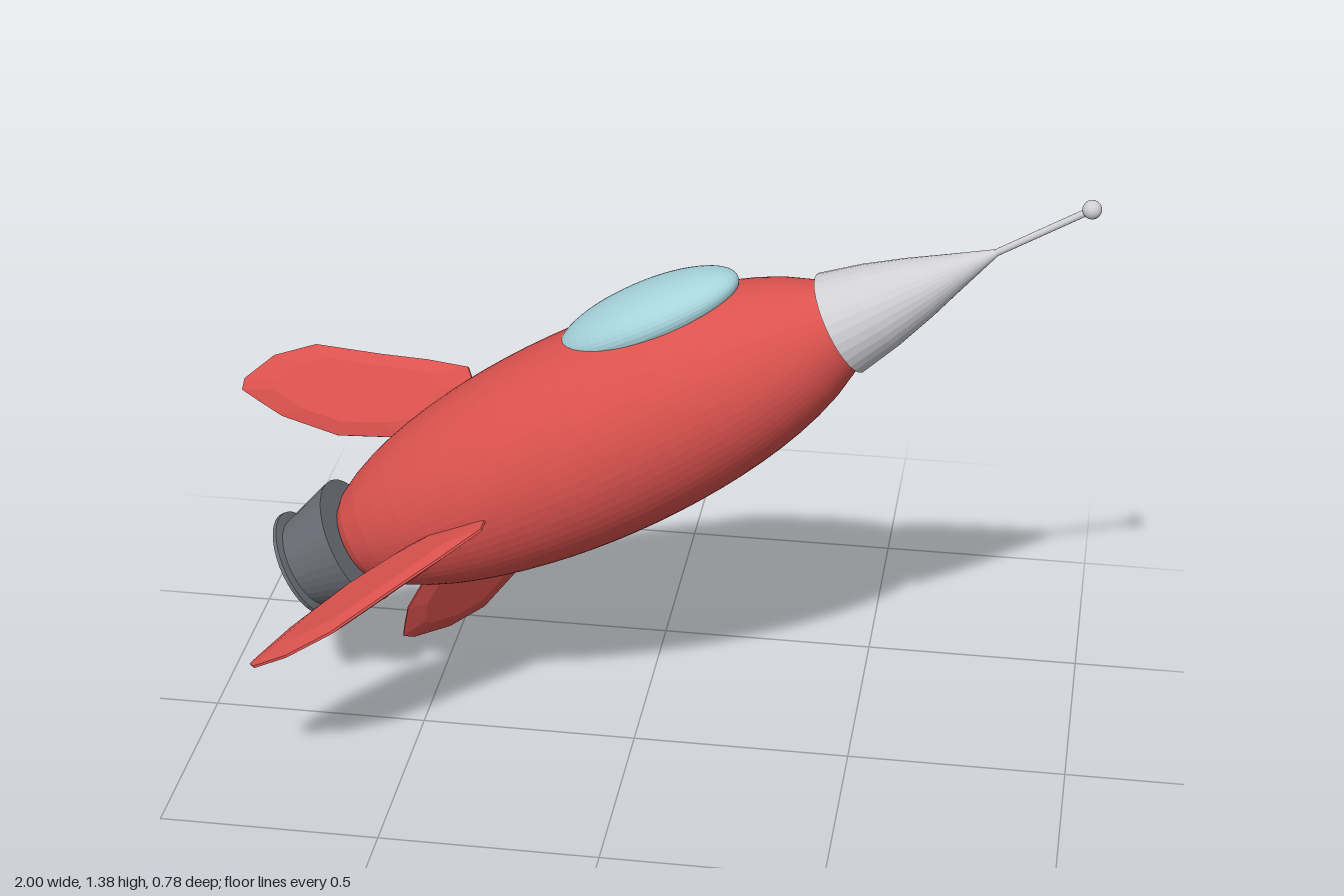
import * as THREE from 'three';

const paint = (name, color) => {
  const m = new THREE.MeshStandardMaterial({ color, flatShading: true });
  m.name = name;
  return m;
};

// Turned part around the rocket axis; profile is [radius, height] from tail to nose
const turned = (profile, segments) =>
  new THREE.LatheGeometry(profile.map(([r, y]) => new THREE.Vector2(r, y)), segments);

// Leaf-shaped fin: thin rim rising to a flat raised panel on both faces
function finGeometry() {
  const outline = [ // [along axis, out from axis]
    [0.55, 0.215], [0.55, 0.268], [0.46, 0.325], [0.352, 0.385], [0.2, 0.475], [0.087, 0.495],
    [-0.006, 0.475], [-0.022, 0.452], [0.01, 0.41], [0.058, 0.35], [0.18, 0.25], [0.335, 0.18], [0.46, 0.15],
  ];
  const cy = 0.26, cz = 0.33, half = 0.014, n = outline.length;
  const at = (i, k, x) => {
    const [s, r] = outline[i % n];
    return [x, cy + (s - cy) * k, cz + (r - cz) * k];
  };
  const pos = [];
  for (const side of [1, -1]) {
    const tri = (a, b, c) => pos.push(...a, ...(side > 0 ? b : c), ...(side > 0 ? c : b));
    const h = half * side;
    for (let i = 0; i < n; i++) {
      const a = at(i, 1, 0.003 * side), b = at(i + 1, 1, 0.003 * side);
      const c = at(i, 0.7, h), d = at(i + 1, 0.7, h);
      tri([h, cy, cz], c, d);
      tri(c, a, b);
      tri(c, b, d);
      // narrow edge
      tri(a, at(i, 1, 0), at(i + 1, 1, 0));
      tri(a, at(i + 1, 1, 0), b);
    }
  }
  const g = new THREE.BufferGeometry();
  g.setAttribute('position', new THREE.Float32BufferAttribute(pos, 3));
  g.computeVertexNormals();
  return g;
}

export function createModel() {
  const red = paint('red paint', 0xdb524e);
  const silver = paint('silver', 0xd0d0d4);
  const glass = paint('pale blue glass', 0xa6d3dc);
  const grey = paint('dark grey metal', 0x6b6e76);

  const model = new THREE.Group();
  model.name = 'rocket';
  // Local +y runs from tail to nose, 30 degrees above the horizon
  model.position.set(-0.795, 0.345, -0.105);
  model.rotation.z = -Math.PI / 3;

  const add = (name, geometry, material, y = 0) => {
    const mesh = new THREE.Mesh(geometry, material);
    mesh.name = name;
    mesh.position.y = y;
    model.add(mesh);
    return mesh;
  };

  // Hull: clipped ellipse with small end chamfers
  const hull = [[0, 0.15], [0.095, 0.152]];
  const steps = 22, reach = 0.615;
  for (let i = 0; i <= steps; i++) {
    const u = -reach + (2 * reach * i) / steps;
    hull.push([0.243 * Math.sqrt(1 - (u / 0.7) ** 2), 0.79 + u]);
  }
  hull.push([0.1, 1.434], [0, 1.434]);
  add('hull', turned(hull, 64), red);

  // Nose cone with a slight bulge
  add('noseCone', turned([
    [0, 1.43], [0.12, 1.43], [0.099, 1.527], [0.071, 1.624], [0.039, 1.72], [0.008, 1.815], [0, 1.815],
  ], 32), silver);

  // Antenna and its ball
  add('antenna', new THREE.CylinderGeometry(0.008, 0.008, 0.26, 12), silver, 1.92);
  add('antennaBall', new THREE.SphereGeometry(0.021, 20, 14), silver, 2.045);

  // Engine nozzle narrowing to a thin rear lip
  add('nozzle', turned([
    [0, -0.005], [0.128, -0.005], [0.128, 0.004], [0.107, 0.008], [0.152, 0.145], [0, 0.155],
  ], 40), grey);

  // Cockpit canopy
  const canopy = add('canopy', new THREE.SphereGeometry(1, 40, 28), glass, 1.055);
  canopy.position.x = -0.206;
  canopy.scale.set(0.065, 0.222, 0.122);
  canopy.rotation.z = -0.06;

  // Three fins around the tail
  const fin = finGeometry();
  for (const angle of [0, 125, -125]) {
    add('fin', fin, red).rotation.y = THREE.MathUtils.degToRad(angle);
  }

  const root = new THREE.Group();
  root.name = 'rocketModel';
  root.add(model);
  return root;
}
